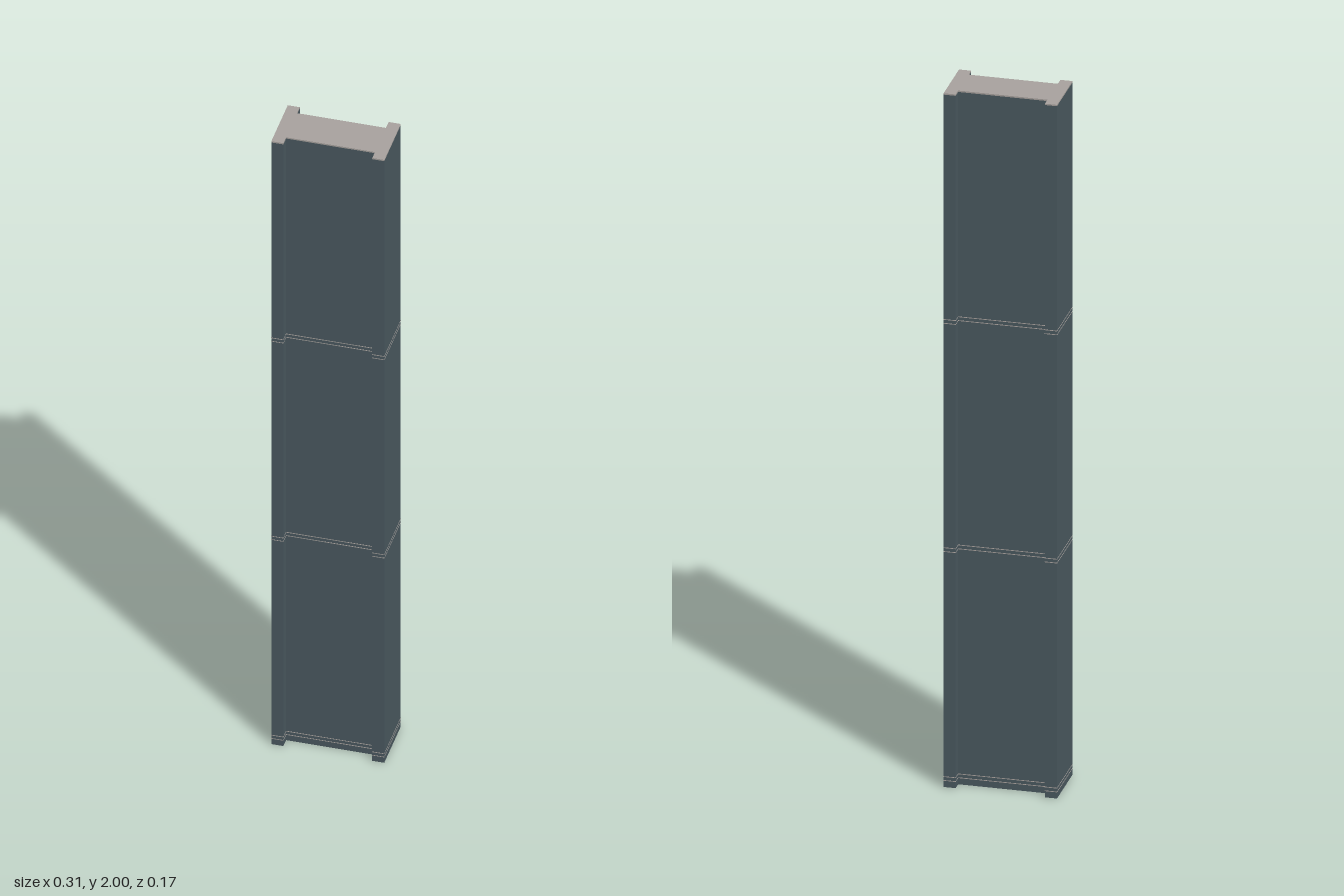
import * as THREE from 'three';

const HALF_W = 0.155, HALF_D = 0.082; // outer flange limits
const WEB_W = 0.122, WEB_D = 0.055;   // recessed panel limits
const HEIGHT = 2, CAP = 0.004;

// I-shaped plan, grown outward by g
function plan(g = 0) {
  const w = HALF_W + g, d = HALF_D + g, a = WEB_W - g, b = WEB_D + g;
  return new THREE.Shape([
    [-w, -d], [-a, -d], [-a, -b], [a, -b], [a, -d], [w, -d],
    [w, d], [a, d], [a, b], [-a, b], [-a, d], [-w, d],
  ].map(([x, y]) => new THREE.Vector2(x, y)));
}

// Upright prism of the plan starting at height y
function prism(name, y, height, material, g) {
  const geometry = new THREE.ExtrudeGeometry(plan(g), { depth: height, bevelEnabled: false });
  geometry.rotateX(-Math.PI / 2);
  const mesh = new THREE.Mesh(geometry, material);
  mesh.position.y = y;
  mesh.name = name;
  return mesh;
}

export function createModel() {
  const slate = new THREE.MeshStandardMaterial({ color: 0x4a5960 });
  slate.name = 'slate';
  const stone = new THREE.MeshStandardMaterial({ color: 0xa8a29e });
  stone.name = 'warm grey';

  const group = new THREE.Group();
  group.name = 'column';

  // Shaft with full-height flanges and recessed panels
  group.add(prism('shaft', 0, HEIGHT - CAP, slate));

  // Pale top plate
  group.add(prism('topPlate', HEIGHT - CAP, CAP, stone));

  // Hairline joints in pairs at each level
  for (const y of [0.018, 0.678, 1.336]) {
    for (const offset of [0, 0.011]) {
      group.add(prism('jointLine', y + offset, 0.002, stone, 0.0005));
    }
  }
  return group;
}
